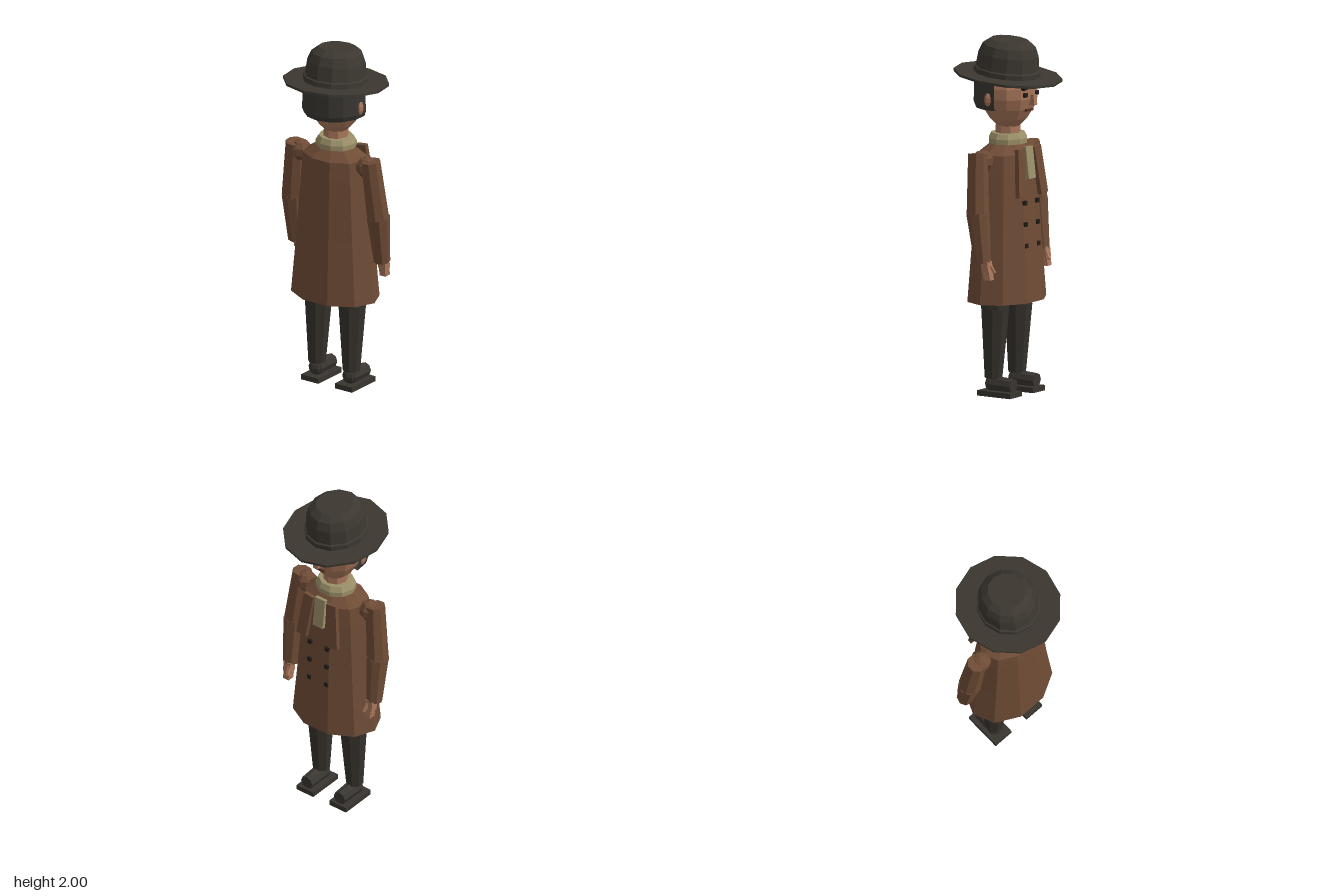
import * as THREE from 'three';

const mat = (name, color, side = THREE.FrontSide) => {
  const m = new THREE.MeshStandardMaterial({ color, flatShading: true, side });
  m.name = name;
  return m;
};

export function createModel() {
  const coat = mat('brown coat', 0x6f4c36);
  const skin = mat('skin', 0xa9765a);
  const felt = mat('hat felt', 0x3c3730);
  const hairMat = mat('hair', 0x393632, THREE.DoubleSide);
  const cloth = mat('trousers', 0x36322c);
  const leather = mat('shoe leather', 0x393530);
  const cream = mat('cream scarf', 0x9c9069);
  const dark = mat('dark details', 0x1f1d1b);
  const lip = mat('lips', 0x5a3326);

  const root = new THREE.Group();
  root.name = 'figure';

  const add = (parent, name, geo, material, pos = [0, 0, 0], rot = [0, 0, 0]) => {
    const m = new THREE.Mesh(geo, material);
    m.name = name;
    m.position.set(...pos);
    m.rotation.set(...rot);
    parent.add(m);
    return m;
  };
  // Lathe from bottom to top, squashed to an ellipse; starts on the x axis
  const turned = (pts, sides, zScale = 1) =>
    new THREE.LatheGeometry(pts.map(p => new THREE.Vector2(...p)), sides, Math.PI / 2).scale(1, 1, zScale);
  const box = (w, h, d) => new THREE.BoxGeometry(w, h, d);
  // Tapered limb running from a to b
  const limb = (parent, name, a, b, ra, rb, material, sides = 8) => {
    const A = new THREE.Vector3(...a), B = new THREE.Vector3(...b);
    const m = add(parent, name, new THREE.CylinderGeometry(rb, ra, A.distanceTo(B), sides), material);
    m.position.copy(A).add(B).multiplyScalar(0.5);
    m.quaternion.setFromUnitVectors(new THREE.Vector3(0, 1, 0), B.sub(A).normalize());
    return m;
  };

  // Long coat, facing -z
  add(root, 'coat', turned([[0, 0.53], [0.27, 0.53], [0.235, 0.9], [0.208, 1.25], [0.195, 1.36], [0.1, 1.42], [0, 1.42]], 10, 0.74)
    .translate(0, 0, 0.008), coat);

  // Scarf collar and hanging end
  add(root, 'scarfCollar', turned([[0.07, 1.405], [0.118, 1.412], [0.118, 1.44], [0.1, 1.47], [0.07, 1.47]], 10, 0.92), cream);
  add(root, 'scarfEnd', box(0.07, 0.18, 0.022), cream, [0, 1.31, -0.142], [0.12, 0, 0]);

  // Coat buttons in two columns
  for (const y of [1.09, 0.97, 0.85]) for (const s of [-1, 1])
    add(root, 'button', box(0.024, 0.024, 0.02), dark, [s * 0.06, y, -0.153 - (1.09 - y) * 0.02]);

  // Neck and head
  add(root, 'neck', turned([[0.072, 1.43], [0.068, 1.55]], 8), skin);
  add(root, 'head', turned([[0, 1.495], [0.062, 1.505], [0.105, 1.55], [0.142, 1.61], [0.162, 1.67], [0.162, 1.73], [0.145, 1.79], [0.1, 1.84], [0, 1.86]], 12, 1.0)
    .translate(0, 0, -0.002), skin);

  // Hair wraps the back and sides of the head
  const hairProfile = [[0.1, 1.612], [0.176, 1.612], [0.186, 1.64], [0.182, 1.77], [0.1, 1.77]].map(p => new THREE.Vector2(...p));
  add(root, 'hair', new THREE.LatheGeometry(hairProfile, 8, -1.72, 3.44).scale(1, 1, 1.05), hairMat);

  // Face
  for (const s of [-1, 1]) {
    add(root, 'ear', new THREE.SphereGeometry(1, 6, 5).scale(0.018, 0.04, 0.024), skin, [s * 0.176, 1.672, 0.015]);
    add(root, 'eye', box(0.03, 0.024, 0.02), dark, [s * 0.055, 1.697, -0.15]);
    add(root, 'eyebrow', box(0.05, 0.014, 0.022), dark, [s * 0.056, 1.735, -0.153], [0, 0, s * -0.1]);
  }
  add(root, 'nose', box(0.03, 0.06, 0.035), skin, [0, 1.665, -0.165], [0.12, 0, 0]);
  add(root, 'mouth', box(0.065, 0.014, 0.02), lip, [0, 1.607, -0.138]);

  // Tilted hat
  const hat = new THREE.Group();
  hat.name = 'hat';
  hat.position.set(0, 1.79, 0);
  hat.rotation.x = -0.1;
  root.add(hat);
  add(hat, 'brim', turned([[0, -0.007], [0.29, -0.007], [0.29, 0.007], [0, 0.007]], 12, 1.07), felt);
  add(hat, 'crown', turned([[0.178, 0], [0.177, 0.035], [0.168, 0.04], [0.16, 0.12], [0.141, 0.17], [0.103, 0.2], [0, 0.198]], 12, 1.07)
    .translate(0, 0, 0.008), felt);

  for (const s of [-1, 1]) {
    // Lapels
    add(root, 'lapel', box(0.066, 0.27, 0.026), coat, [s * 0.095, 1.258, -0.146], [0.1, 0, s * 0.12]);

    // Arm
    const arm = new THREE.Group();
    arm.name = s > 0 ? 'leftArm' : 'rightArm';
    root.add(arm);
    add(arm, 'shoulder', new THREE.SphereGeometry(0.062, 8, 5), coat, [s * 0.225, 1.335, 0.02]);
    limb(arm, 'upperSleeve', [s * 0.258, 1.38, 0.028], [s * 0.293, 1.04, 0.005], 0.056, 0.064, coat);
    limb(arm, 'lowerSleeve', [s * 0.293, 1.055, 0.005], [s * 0.295, 0.775, -0.028], 0.065, 0.046, coat);
    // Hand with fingers and thumb
    add(arm, 'palm', box(0.048, 0.06, 0.045), skin, [s * 0.29, 0.755, -0.052], [0.12, 0, 0]);
    for (let i = 0; i < 3; i++)
      add(arm, 'finger', box(0.04, 0.055, 0.013), skin, [s * 0.288, 0.708, -0.045 - i * 0.015], [0.16, 0, 0]);
    limb(arm, 'thumb', [s * 0.28, 0.765, -0.065], [s * 0.27, 0.72, -0.092], 0.012, 0.009, skin, 5);

    // Leg
    const leg = new THREE.Group();
    leg.name = s > 0 ? 'leftLeg' : 'rightLeg';
    root.add(leg);
    limb(leg, 'thigh', [s * 0.116, 0.62, 0.005], [s * 0.116, 0.49, 0.008], 0.082, 0.079, cloth);
    limb(leg, 'shin', [s * 0.116, 0.49, 0.008], [s * 0.118, 0.1, 0.018], 0.079, 0.05, cloth);
    // Shoe
    add(leg, 'sole', box(0.118, 0.03, 0.22), leather, [s * 0.116, 0.015, -0.02]);
    add(leg, 'heelCounter', new THREE.SphereGeometry(0.046, 8, 6), leather, [s * 0.116, 0.068, 0.022]);
    limb(leg, 'toe', [s * 0.116, 0.068, 0.04], [s * 0.116, 0.064, -0.115], 0.045, 0.04, leather);
  }
  return root;
}
